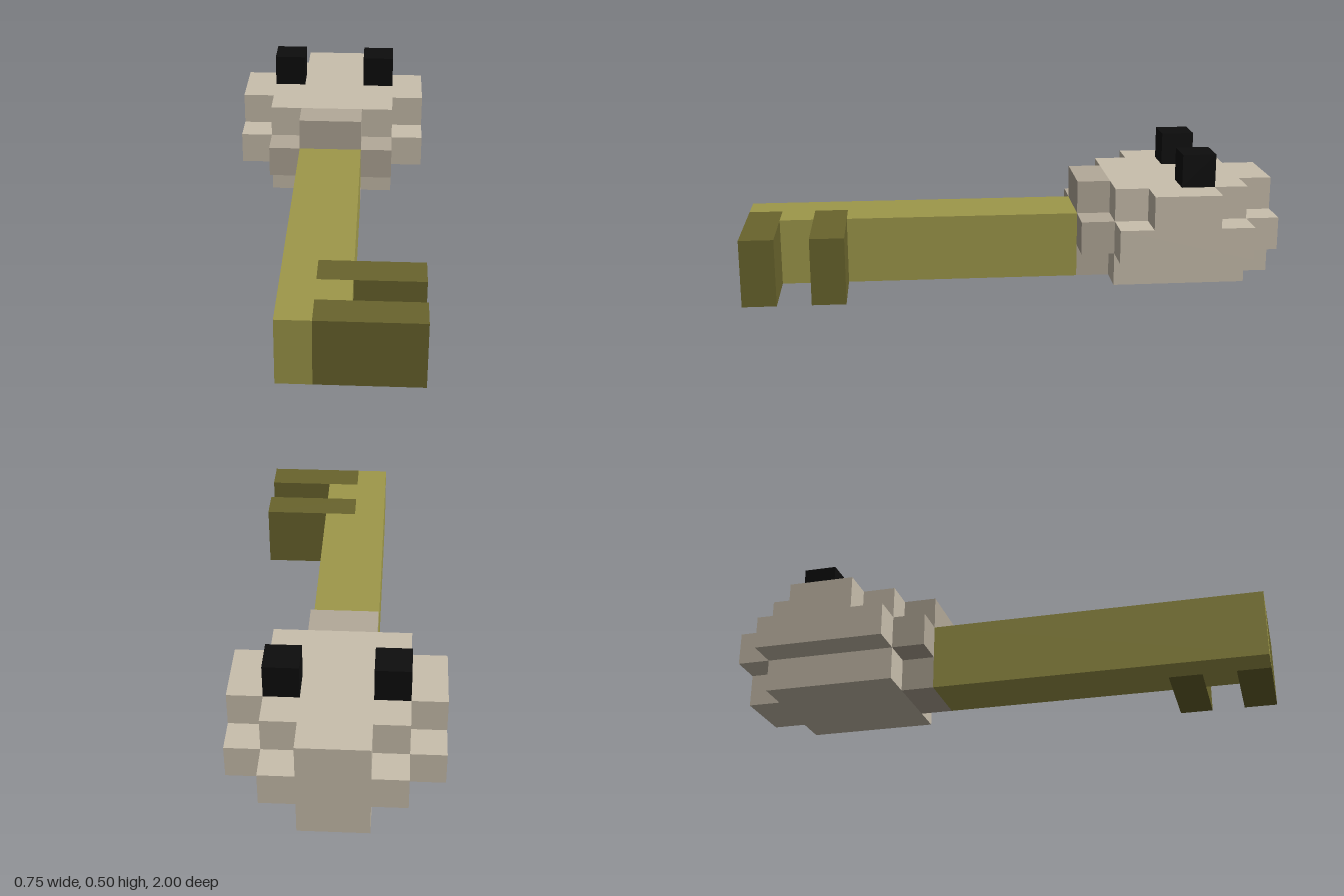
import * as THREE from 'three';

const U = 0.125; // one block

const material = (name, color) => {
  const m = new THREE.MeshStandardMaterial({ color });
  m.name = name;
  return m;
};

export function createModel() {
  const bone = material('bone', 0xc9bfad);
  const darkBone = material('dark bone', 0xb3a999);
  const brass = material('brass', 0x9e984a);
  const darkBrass = material('dark brass', 0x69642d);
  const black = material('black', 0x0d0d0d);

  const group = new THREE.Group();
  group.name = 'skullKey';

  const add = (name, geometry, mat, parent = group) => {
    const mesh = new THREE.Mesh(geometry, mat);
    mesh.name = name;
    parent.add(mesh);
  };

  // Box given by its minimum corner and size, in blocks
  const box = (name, mat, x, y, z, w, h, d, parent) => {
    const g = new THREE.BoxGeometry(w * U, h * U, d * U);
    g.translate((x + w / 2) * U, (y + h / 2) * U, (z + d / 2) * U);
    add(name, g, mat, parent);
  };

  // Plan outline of [x, z] points, in blocks, raised from y by h
  const slab = (name, mat, points, y, h, parent) => {
    const shape = new THREE.Shape(points.map(([x, z]) => new THREE.Vector2(x * U, -z * U)));
    const g = new THREE.ExtrudeGeometry(shape, { depth: h * U, bevelEnabled: false });
    g.rotateX(-Math.PI / 2);
    g.translate(0, y * U, 0);
    add(name, g, mat, parent);
  };

  // Skull: stepped layers, each a list of half widths from the back row forward
  const skull = new THREE.Group();
  skull.name = 'skull';
  group.add(skull);
  const layers = [
    { name: 'skullBottom', rows: [1, 2, 2, 2, 2] },
    { name: 'skullMiddle', rows: [2, 3, 3, 3, 3] },
    { name: 'skullTop', rows: [1, 2, 3, 3, 2] },
  ];
  layers.forEach(({ name, rows }, y) => {
    const right = [];
    rows.forEach((w, i) => {
      if (w !== rows[i - 1]) {
        if (i > 0) right.push([rows[i - 1], i - 8]);
        right.push([w, i - 8]);
      }
    });
    right.push([rows.at(-1), rows.length - 8]);
    const left = right.map(([x, z]) => [-x, z]).reverse();
    slab(name, bone, [...right, ...left], y, 1, skull);
  });

  // Darker jaw, one block deep, where the shaft meets the skull
  [1, 2, 1].forEach((w, y) => box('jaw', darkBone, -w, y, -3, 2 * w, 1, 1, skull));

  // Raised eyes
  for (const x of [-2, 1]) box('eye', black, x, 3, -6, 1, 1, 1);

  // Shaft with two slots that hold the teeth
  slab('shaft', brass, [
    [-1, -2], [1, -2], [1, 5], [0, 5], [0, 6], [1, 6], [1, 7], [0, 7], [0, 8], [-1, 8],
  ], 0, 2);

  // Key teeth
  for (const z of [5, 7]) box('tooth', darkBrass, 0, 0, z, 3, 2, 1);

  return group;
}
